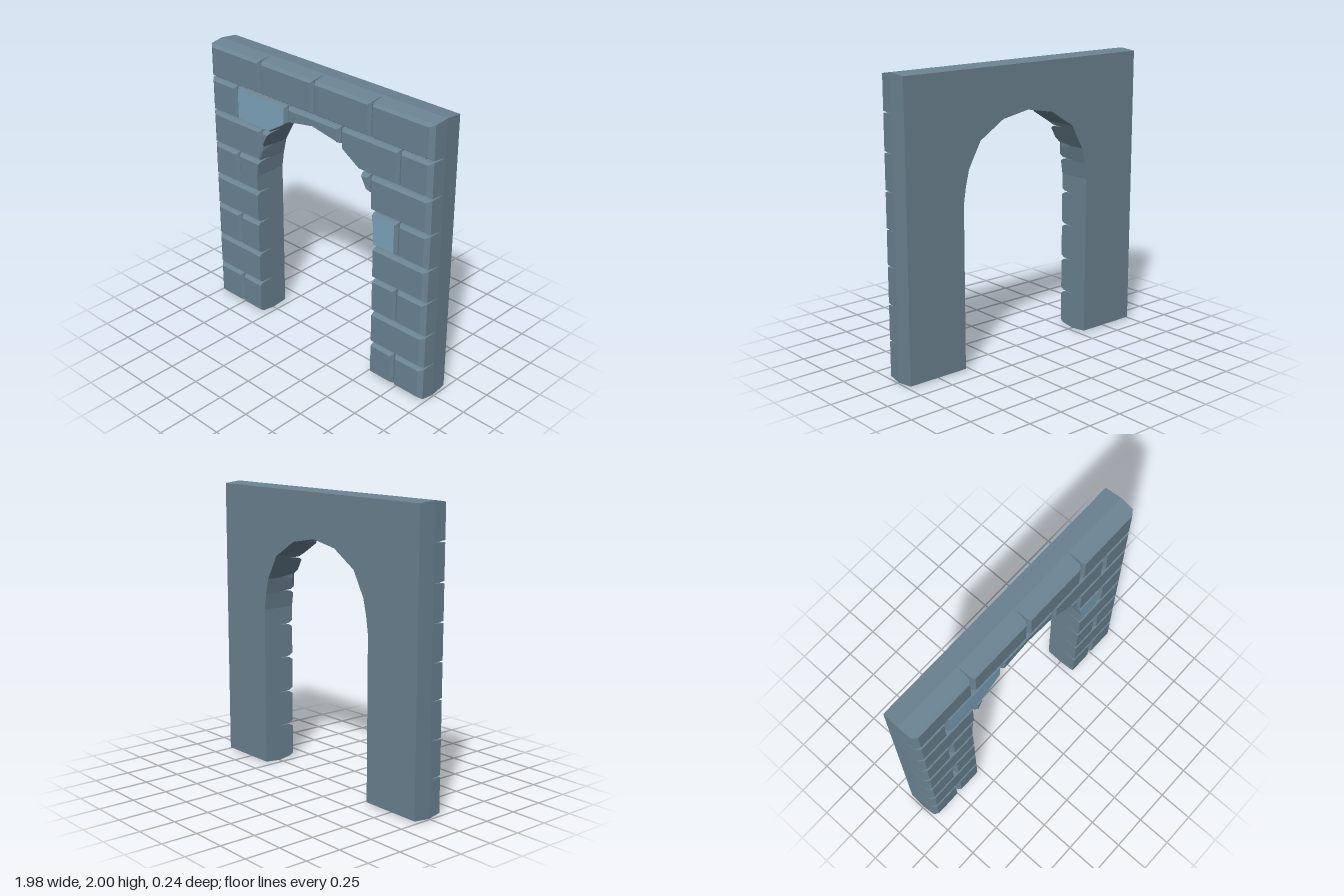
import * as THREE from 'three';

const stone = new THREE.MeshStandardMaterial({ color: 0x6b8392 });
stone.name = 'slate stone';
const paleStone = new THREE.MeshStandardMaterial({ color: 0x7ca4bb });
paleStone.name = 'pale blue stone';

// Half of the doorway outline, from the crown down to the foot
const ARCH = [[0, 1.68], [0.21, 1.642], [0.4, 1.525], [0.495, 1.355], [0.522, 1.245], [0.54, 1.13], [0.54, 0]];

// The same outline with extra points, so it can be trimmed to each brick
const archPoints = [];
for (let i = 0; i < ARCH.length - 1; i++) {
  for (let k = 0; k < 12; k++) {
    const t = k / 12;
    archPoints.push([0, 1].map((a) => ARCH[i][a] * (1 - t) + ARCH[i + 1][a] * t));
  }
}
archPoints.push(ARCH[ARCH.length - 1]);

// Doorway half-width at a height
function archX(y) {
  if (y >= ARCH[0][1]) return 0;
  for (let i = 1; i < ARCH.length; i++) {
    const [ax, ay] = ARCH[i - 1], [bx, by] = ARCH[i];
    if (y >= by) return ax + (bx - ax) * (ay - y) / (ay - by);
  }
  return 0.54;
}

// Doorway height at a distance from the middle
function archY(x) {
  for (let i = 1; i < ARCH.length - 1; i++) {
    const [ax, ay] = ARCH[i - 1], [bx, by] = ARCH[i];
    if (x < bx) return ay + (by - ay) * (x - ax) / (bx - ax);
  }
  return 0;
}

// A rectangle with the doorway cut away, or null when nothing remains
function outline(x0, x1, y0, y1) {
  const xs = Math.max(x0, archX(y1));
  const ye = Math.max(y0, archY(x1));
  if (xs > x1 - 0.003 || ye > y1 - 0.003) return null;
  const points = archPoints.map(([x, y]) => new THREE.Vector2(
    THREE.MathUtils.clamp(x, xs, x1), THREE.MathUtils.clamp(y, ye, y1)));
  points.unshift(new THREE.Vector2(xs, y1));
  points.push(new THREE.Vector2(x1, ye), new THREE.Vector2(x1, y1));
  return points;
}

// Joins outlines from back to front; group 0 is the sides, group 1 the front face
function stackedBlock(layers, side, withBack) {
  const positions = [];
  const tri = (a, b, c) => {
    const area = new THREE.Vector3().subVectors(b, a).cross(new THREE.Vector3().subVectors(c, a)).length();
    if (area < 1e-9) return;
    for (const p of side > 0 ? [a, b, c] : [a, c, b]) positions.push(p.x * side, p.y, p.z);
  };
  const loops = layers.map(({ points, z }) => points.map((p) => new THREE.Vector3(p.x, p.y, z)));
  const n = loops[0].length;
  for (let l = 0; l < loops.length - 1; l++) {
    for (let i = 0; i < n; i++) {
      const j = (i + 1) % n;
      const a = loops[l][i], b = loops[l][j], c = loops[l + 1][j], d = loops[l + 1][i];
      if (Math.max(a.x, b.x, c.x, d.x) < 1e-6) continue; // open where the halves meet
      tri(a, b, c);
      tri(a, c, d);
    }
  }
  const cap = (index, flip) => {
    const loop = loops[index];
    for (const [a, b, c] of THREE.ShapeUtils.triangulateShape(layers[index].points.slice(), [])) {
      if (flip) tri(loop[a], loop[c], loop[b]);
      else tri(loop[a], loop[b], loop[c]);
    }
  };
  if (withBack) cap(0, true);
  const sideCount = positions.length / 3;
  cap(loops.length - 1, false);
  const geometry = new THREE.BufferGeometry();
  geometry.setAttribute('position', new THREE.Float32BufferAttribute(positions, 3));
  geometry.addGroup(0, sideCount, 0);
  geometry.addGroup(sideCount, positions.length / 3 - sideCount, 1);
  geometry.computeVertexNormals();
  return geometry;
}

const BACK = -0.122, MIDDLE = 0;
const EDGE = 0.99, TOP = 2;
const COURSES = [0, 0.26, 0.507, 0.762, 1.003, 1.25, 1.497, 1.747, TOP];

// Brick depth steps: joint inset, outer side inset, inset at wall top and foot
const STEPS = [
  { z: MIDDLE, joint: 0, outer: 0, end: 0 },
  { z: 0.098, joint: 0.007, outer: 0.006, end: 0.015 },
  { z: 0.122, joint: 0.023, outer: 0.038, end: 0.032 },
];

export function createModel() {
  const model = new THREE.Group();
  model.name = 'stoneArchway';

  for (const side of [1, -1]) {
    const half = new THREE.Group();
    half.name = side > 0 ? 'leftHalf' : 'rightHalf';
    model.add(half);

    // Plain wall behind the bricks
    const wall = new THREE.Mesh(stackedBlock([
      { points: outline(0, EDGE - 0.005, 0.012, TOP - 0.012), z: BACK },
      { points: outline(0, EDGE, 0, TOP), z: MIDDLE },
    ], side, true), [stone, stone]);
    wall.name = 'backWall';
    half.add(wall);

    // Courses of bevelled bricks with staggered joints
    for (let row = 0; row < 8; row++) {
      const joints = row === 6 ? [0, 0.24, 0.73, EDGE] : row % 2 ? [0, 0.493, EDGE] : [0, 0.735, EDGE];
      for (let col = 0; col < joints.length - 1; col++) {
        const x0 = joints[col], x1 = joints[col + 1];
        const layers = STEPS.map(({ z, joint, outer, end }) => ({
          z,
          points: outline(
            x0 + (x0 === 0 && row !== 7 ? 0 : joint),
            x1 - (x1 === EDGE ? outer : joint),
            COURSES[row] + (row === 0 ? end : joint),
            COURSES[row + 1] - (row === 7 ? end : joint)),
        }));
        if (layers.some((layer) => !layer.points)) continue;
        const pale = (side < 0 && row === 6 && col === 1) || (side > 0 && row === 4 && col === 0);
        const brick = new THREE.Mesh(stackedBlock(layers, side, false), [stone, pale ? paleStone : stone]);
        brick.name = pale ? 'paleBrick' : 'brick';
        half.add(brick);
      }
    }
  }
  return model;
}
